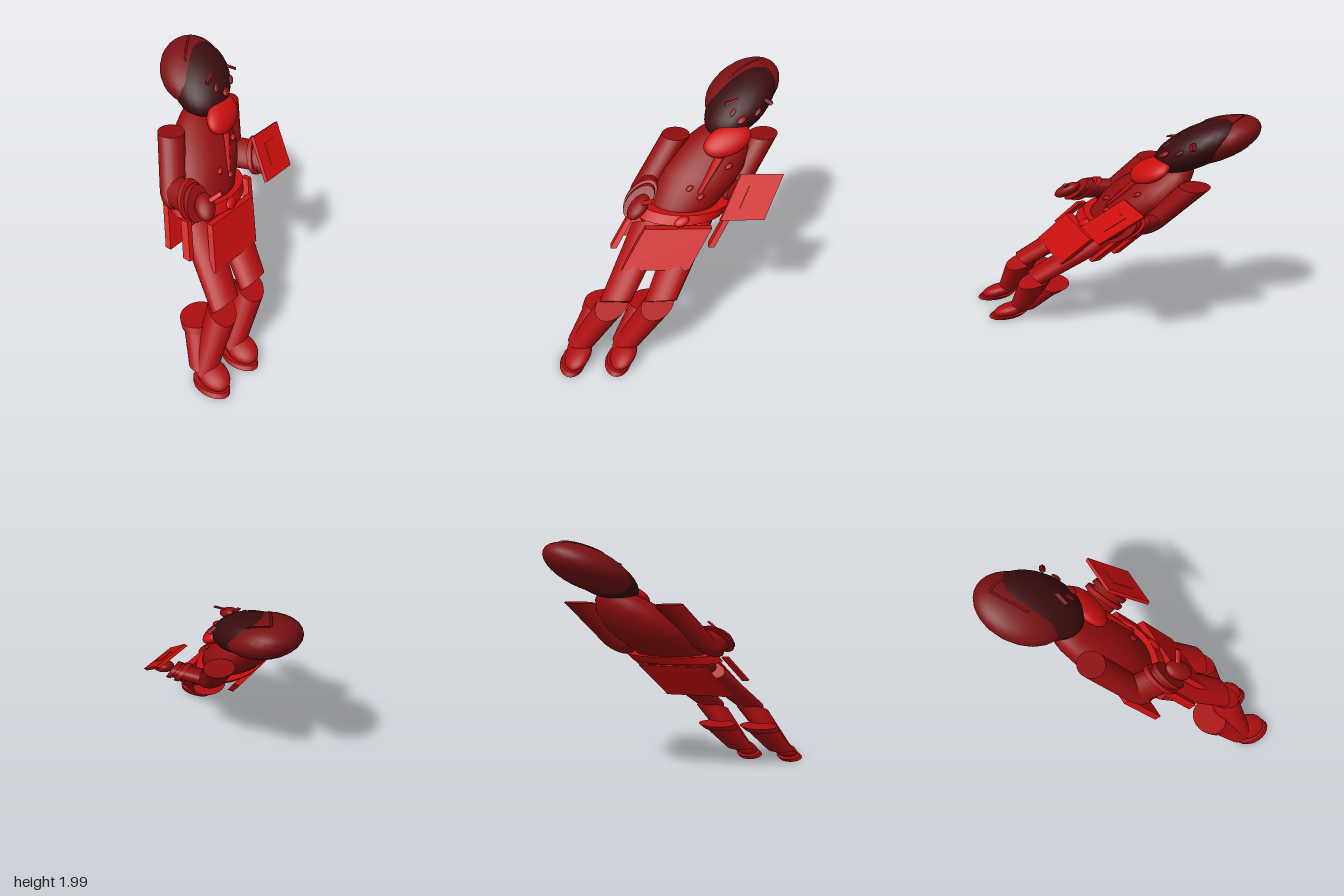
import * as THREE from 'three';

const material = (name, hex) => {
  const m = new THREE.MeshStandardMaterial({ color: hex });
  m.name = name;
  return m;
};

export function createModel() {
  const group = new THREE.Group();
  const bright = material('bright red', 0xcc0e0e);
  const legRed = material('leg red', 0xae0e10);
  const suit = material('suit red', 0x920d0f);
  const capRed = material('cap red', 0x7a1012);
  const dark = material('dark maroon', 0x390c0e);

  // The upright figure faces +x; this leans the whole body while level parts stay level
  const lean = new THREE.Matrix4().set(
    1, -0.7, 0, 0.7,
    0, 1, 0, 0,
    0, -0.7, 1, 0.647,
    0, 0, 0, 1);

  function add(name, geo, mat, pos = [0, 0, 0], scale = [1, 1, 1], rot = [0, 0, 0]) {
    const local = new THREE.Matrix4().compose(
      new THREE.Vector3(...pos),
      new THREE.Quaternion().setFromEuler(new THREE.Euler(...rot)),
      new THREE.Vector3(...scale));
    geo.applyMatrix4(local).applyMatrix4(lean);
    const mesh = new THREE.Mesh(geo, mat);
    mesh.name = name;
    group.add(mesh);
  }
  const ball = (name, mat, pos, radii, rot) =>
    add(name, new THREE.SphereGeometry(1, 24, 16), mat, pos, radii, rot);
  const box = (name, mat, pos, size, rot) =>
    add(name, new THREE.BoxGeometry(...size), mat, pos, [1, 1, 1], rot);
  const disc = (name, mat, pos, top, bottom, height, zScale) =>
    add(name, new THREE.CylinderGeometry(top, bottom, height, 24), mat, pos, [1, 1, zScale]);

  // Capped tapered limb running from a to b
  function limb(name, mat, a, b, ra, rb, zScale = 1) {
    const from = new THREE.Vector3(...a), to = new THREE.Vector3(...b);
    const dir = to.clone().sub(from);
    const geo = new THREE.CylinderGeometry(rb, ra, dir.length(), 20);
    geo.scale(1, 1, zScale);
    geo.applyQuaternion(new THREE.Quaternion().setFromUnitVectors(
      new THREE.Vector3(0, 1, 0), dir.normalize()));
    add(name, geo, mat, from.add(to).multiplyScalar(0.5).toArray());
  }

  // Torso, hips and belt
  const profile = [[0, 0.96], [0.18, 0.98], [0.21, 1.1], [0.24, 1.22], [0.245, 1.32],
    [0.21, 1.44], [0.15, 1.54], [0.09, 1.6], [0, 1.62]].map(p => new THREE.Vector2(...p));
  add('torso', new THREE.LatheGeometry(profile, 28), suit, [0, 0, 0], [1, 1, 1.38]);
  ball('hips', suit, [0, 1.0, 0], [0.2, 0.13, 0.3]);
  disc('belt', bright, [0, 1.045, 0], 0.253, 0.253, 0.065, 1.5);
  ball('buckle', bright, [0.255, 1.042, 0], [0.025, 0.035, 0.055]);

  // Hanging panels and side straps
  for (const [name, x] of [['frontPanel', 0.243], ['backPanel', -0.23]])
    box(name, bright, [x, 0.865, 0], [0.055, 0.27, 0.54]);
  for (const s of [1, -1])
    box('sideStrap', bright, [0.11, 0.925, s * 0.4], [0.07, 0.22, 0.05]);

  // Tie and buttons
  add('tie', new THREE.CylinderGeometry(0.042, 0.018, 0.24, 4), bright,
    [0.25, 1.345, -0.015], [0.7, 1, 1]);
  for (const [y, z, x] of [[1.385, -0.147, 0.21], [1.253, 0.082, 0.236], [1.195, -0.047, 0.235]])
    ball('button', legRed, [x, y, z], [0.02, 0.02, 0.026]);

  // Head, cap and face
  limb('neck', suit, [0, 1.5, 0], [0, 1.64, 0], 0.12, 0.12, 1.1);
  ball('face', dark, [0.02, 1.75, 0], [0.26, 0.23, 0.25]);
  ball('cap', capRed, [-0.08, 1.79, 0], [0.268, 0.205, 0.28]);
  ball('beard', bright, [0.225, 1.562, -0.01], [0.088, 0.108, 0.18]);
  ball('nose', suit, [0.28, 1.718, -0.015], [0.025, 0.027, 0.035]);
  for (const s of [1, -1]) {
    ball('eye', capRed, [0.255, 1.76, s * 0.1 - 0.02], [0.018, 0.028, 0.022]);
    box('brow', capRed, [0.24, 1.826, s * 0.15 - 0.01], [0.03, 0.018, 0.085], [s * 0.4, 0, 0]);
  }

  // Seams raised along the cap from the crown
  for (const angle of [-0.55, 1.05]) {
    const points = [];
    for (let i = 0; i <= 6; i++) {
      const t = i * 0.16;
      points.push(new THREE.Vector3(
        -0.08 + 0.268 * Math.sin(t) * Math.cos(angle),
        1.79 + 0.205 * Math.cos(t),
        0.28 * Math.sin(t) * Math.sin(angle)));
    }
    add('capSeam', new THREE.TubeGeometry(new THREE.CatmullRomCurve3(points), 18, 0.009, 6), capRed);
  }

  for (const s of [1, -1]) {
    // Arm
    limb('upperArm', suit, [-0.035, 1.15, s * 0.375], [-0.025, 1.51, s * 0.365], 0.105, 0.11, 1.08);
    ball('elbow', suit, [-0.03, 1.16, s * 0.38], [0.105, 0.1, 0.11]);
    limb('forearm', suit, [-0.03, 1.17, s * 0.385], [0.27, 1.19, s * 0.445], 0.095, 0.09);
    limb('cuff', legRed, [0.18, 1.185, s * 0.43], [0.22, 1.187, s * 0.437], 0.115, 0.115);
    limb('cuffTrim', suit, [0.25, 1.19, s * 0.443], [0.29, 1.192, s * 0.45], 0.105, 0.105);
    ball('hand', suit, [0.37, 1.195, s * 0.455], [0.085, 0.075, 0.075]);

    // Leg
    const z = s * 0.185;
    limb('thigh', legRed, [0.03, 0.93, z * 0.92], [0.267, 0.525, z * 0.98], 0.135, 0.108, 1.15);
    limb('shin', legRed, [0.236, 0.49, z], [0.01, 0.1, z], 0.112, 0.09, 1.15);
    disc('boot', legRed, [-0.01, 0.235, z], 0.12, 0.1, 0.23, 1.2);
    disc('bootCuff', legRed, [-0.02, 0.357, z], 0.14, 0.13, 0.045, 1.17);
    ball('shoe', legRed, [0.095, 0.085, z], [0.15, 0.072, 0.1]);
    add('sole', new THREE.CylinderGeometry(1, 1, 0.028, 20), legRed,
      [0.07, 0.025, z], [0.165, 1, 0.105]);
  }

  // Held stick and tablet
  limb('stick', bright, [0.38, 1.22, 0.47], [0.51, 1.295, 0.405], 0.015, 0.015);
  box('tablet', bright, [0.413, 1.274, -0.388], [0.035, 0.27, 0.34], [0, 0, 0.41]);
  box('tabletScreen', bright, [0.432, 1.282, -0.388], [0.008, 0.13, 0.13], [0, 0, 0.41]);

  return group;
}
